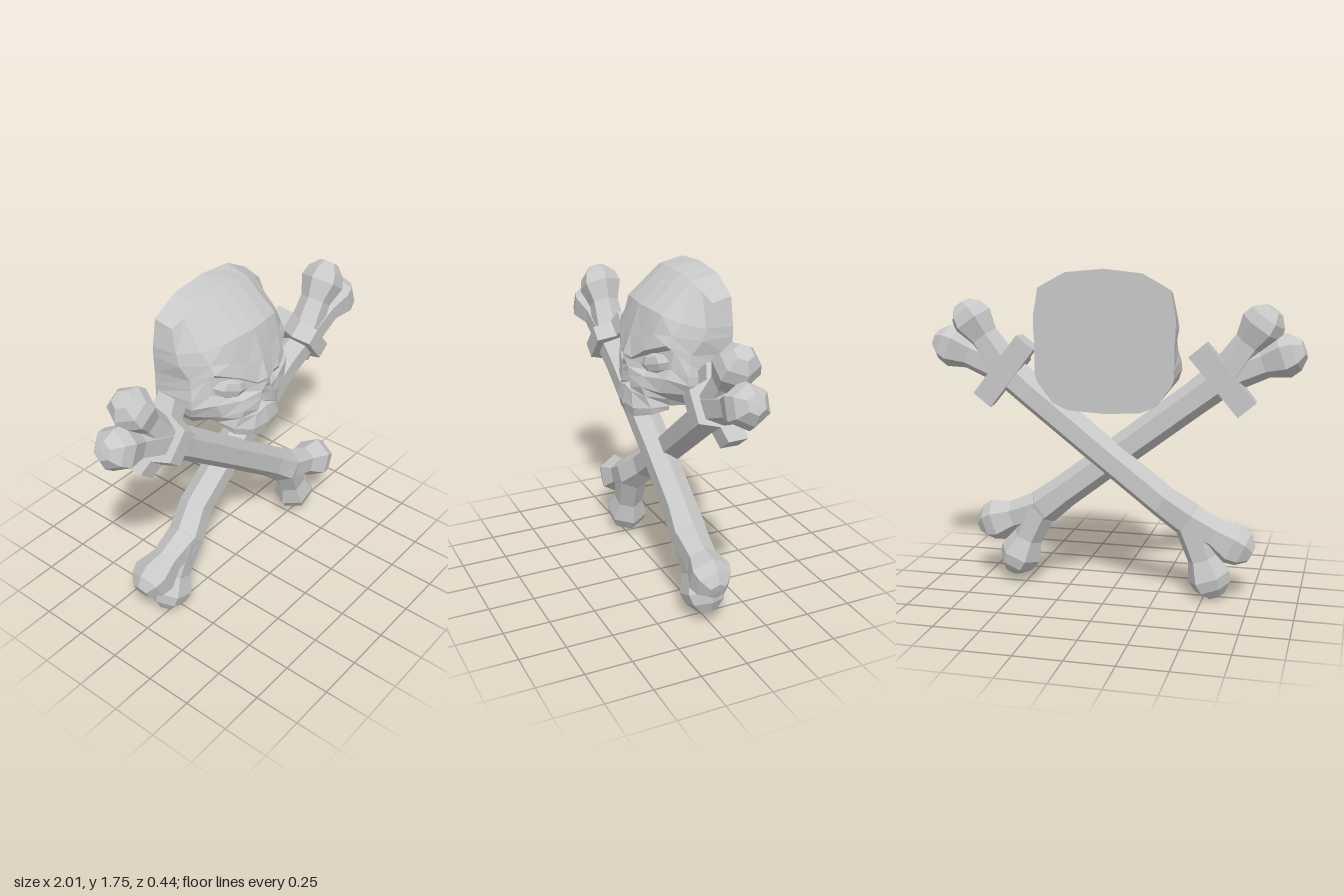
import * as THREE from 'three';

const bone = new THREE.MeshStandardMaterial({ color: 0xc8c8c8 });
bone.name = 'bone grey';
bone.flatShading = true;
bone.side = THREE.DoubleSide;

function triangles(name, corners) {
  const geo = new THREE.BufferGeometry();
  geo.setAttribute('position', new THREE.Float32BufferAttribute(corners.flat(), 3));
  geo.computeVertexNormals();
  const mesh = new THREE.Mesh(geo, bone);
  mesh.name = name;
  return mesh;
}

// Rows of points running from the centre line to the left, mirrored to the right
function mirroredPanel(name, rows) {
  const out = [];
  const flip = ([x, y, z]) => [-x, y, z];
  for (let r = 0; r < rows.length - 1; r++) {
    for (let c = 0; c < rows[r].length - 1; c++) {
      const a = rows[r][c], b = rows[r][c + 1], d = rows[r + 1][c], e = rows[r + 1][c + 1];
      out.push(a, d, e, a, e, b);
      out.push(...[a, e, d, a, b, e].map(flip));
    }
  }
  return triangles(name, out);
}

// Six-sided tube through [x, y, z, radius] stations, with a flat front and back
function loft(name, stations) {
  const rings = stations.map(([x, y, z, r], i) => {
    const p = stations[Math.max(0, i - 1)], n = stations[Math.min(stations.length - 1, i + 1)];
    const d = new THREE.Vector2(n[0] - p[0], n[1] - p[1]).normalize();
    return Array.from({ length: 6 }, (_, j) => {
      const t = j * Math.PI / 3, s = r * Math.cos(t);
      return [x - d.y * s, y + d.x * s, z + r * Math.sin(t)];
    });
  });
  const out = [];
  for (let i = 0; i < rings.length - 1; i++) {
    for (let j = 0; j < 6; j++) {
      const k = (j + 1) % 6, a = rings[i], b = rings[i + 1];
      out.push(a[j], a[k], b[j], a[k], b[k], b[j]);
    }
  }
  return triangles(name, out);
}

// Forked bone end: a broad neck growing out of the shaft and swelling into a knob
function knob(name, base, tip) {
  const from = new THREE.Vector3(...base), to = new THREE.Vector3(...tip);
  const dir = to.clone().sub(from).normalize();
  const at = (s, r) => [...to.clone().addScaledVector(dir, s).toArray(), r];
  return loft(name, [[...base, 0.095], at(-0.12, 0.083), at(-0.015, 0.118), at(0.045, 0.1), at(0.095, 0.05), at(0.098, 0)]);
}

// Crossguard with a raised collar in the middle, narrowing towards the front
function guard(name, x, y, z, ux, uy) {
  const half = [[0.2, -0.11], [0.2, -0.01], [0.12, 0.01], [0.085, 0.11]];
  const outline = [...half, ...half.map(([u, w]) => [-u, w]).reverse()];
  const geo = new THREE.ExtrudeGeometry(new THREE.Shape(outline.map(p => new THREE.Vector2(...p))),
    { depth: 0.12, bevelEnabled: false });
  geo.translate(0, 0, -0.06);
  const pos = geo.attributes.position;
  for (let i = 0; i < pos.count; i++) pos.setZ(i, pos.getZ(i) * (0.87 - 1.2 * pos.getY(i)));
  const u = new THREE.Vector3(ux, uy, 0).normalize(), w = new THREE.Vector3(0, 0, 1);
  geo.applyMatrix4(new THREE.Matrix4().makeBasis(u, w, u.clone().cross(w)));
  const mesh = new THREE.Mesh(geo, bone);
  mesh.name = name;
  mesh.position.set(x, y, z);
  return mesh;
}

function crossbone(name, side, midZ, endZ, lowTips) {
  const g = new THREE.Group();
  g.name = name;
  const top = [side * 0.59, 1.19, endZ], low = [-side * 0.42, 0.415, endZ];
  g.add(loft('shaft', [
    [side * 0.72, 1.295, endZ, 0], [side * 0.67, 1.255, endZ, 0.065], [side * 0.58, 1.182, endZ, 0.096],
    [side * 0.45, 1.08, (midZ + endZ) / 2, 0.09], [0, 0.735, midZ, 0.088], [-side * 0.28, 0.52, midZ, 0.09],
    [-side * 0.4, 0.425, endZ, 0.1], [-side * 0.5, 0.345, endZ, 0.065], [-side * 0.55, 0.31, endZ, 0],
  ]));
  g.add(knob('upperOuterKnob', top, [side * 0.9, 1.31, endZ]));
  g.add(knob('upperInnerKnob', top, [side * 0.78, 1.46, endZ - 0.01]));
  lowTips.forEach((tip, i) => g.add(knob(i ? 'lowerInnerKnob' : 'lowerOuterKnob', low, tip)));
  return g;
}

function skull() {
  const g = new THREE.Group();
  g.name = 'skull';

  // Cranium from the crown down to the brow edge
  const cranium = [
    [[0, 1.745, -0.22], [0.1, 1.735, -0.22], [0.2, 1.725, -0.22], [0.27, 1.687, -0.22], [0.345, 1.645, -0.22], [0.345, 1.645, -0.22]],
    [[0, 1.72, -0.07], [0.1, 1.715, -0.07], [0.19, 1.7, -0.08], [0.27, 1.66, -0.1], [0.337, 1.62, -0.12], [0.352, 1.6, -0.22]],
    [[0, 1.56, 0.12], [0.1, 1.56, 0.11], [0.2, 1.55, 0.09], [0.29, 1.52, 0.02], [0.355, 1.5, -0.08], [0.37, 1.5, -0.22]],
    [[0, 1.41, 0.17], [0.09, 1.41, 0.155], [0.19, 1.45, 0.125], [0.28, 1.46, 0.07], [0.36, 1.44, -0.06], [0.37, 1.45, -0.22]],
    [[0, 1.31, 0.21], [0.06, 1.3, 0.19], [0.16, 1.365, 0.16], [0.28, 1.415, 0.1], [0.34, 1.37, -0.01], [0.365, 1.35, -0.22]],
  ];
  g.add(mirroredPanel('cranium', cranium));

  // Eye sockets, nose opening, cheekbones and upper jaw
  const face = [
    [[0, 1.285, 0.207], [0.045, 1.285, 0.185], [0.13, 1.33, 0.115], [0.28, 1.39, 0.06], [0.345, 1.32, 0], [0.365, 1.28, -0.22]],
    [[0, 1.24, 0.185], [0.035, 1.245, 0.2], [0.12, 1.245, 0.125], [0.285, 1.29, 0.075], [0.36, 1.265, 0.015], [0.365, 1.24, -0.22]],
    [[0, 1.2, 0.17], [0.045, 1.2, 0.2], [0.14, 1.22, 0.16], [0.285, 1.245, 0.11], [0.365, 1.22, 0.015], [0.365, 1.2, -0.22]],
    [[0, 1.15, 0.165], [0.06, 1.14, 0.198], [0.14, 1.165, 0.175], [0.25, 1.165, 0.125], [0.35, 1.165, 0], [0.35, 1.16, -0.22]],
    [[0, 1.135, 0.2], [0.075, 1.12, 0.197], [0.15, 1.115, 0.155], [0.2, 1.1, 0.05], [0.28, 1.08, -0.05], [0.27, 1.055, -0.22]],
    [[0, 1.045, 0.217], [0.1, 1.045, 0.205], [0.175, 1.055, 0.135], [0.18, 1.055, 0.03], [0.2, 1.045, -0.1], [0.19, 1.02, -0.22]],
  ];
  const underside = face[5].map(([, y, z]) => [0, y - 0.01, z]);
  g.add(mirroredPanel('face', [cranium[4], ...face, underside]));

  // Flat back
  const edge = [...cranium[0].slice(0, 5), ...[...cranium.slice(1), ...face].map(row => row[5])];
  const outline = [...edge, [0, 1.01], ...edge.slice(1).reverse().map(([x, y]) => [-x, y])];
  const back = new THREE.ShapeGeometry(new THREE.Shape(outline.map(([x, y]) => new THREE.Vector2(x, y))));
  back.rotateY(Math.PI);
  const backMesh = new THREE.Mesh(back, bone);
  backMesh.name = 'skullBack';
  backMesh.position.z = -0.22;
  g.add(backMesh);

  // Band of teeth
  g.add(mirroredPanel('teeth', [
    [[0, 1.04, 0.21], [0.1, 1.04, 0.198], [0.17, 1.05, 0.13], [0.172, 1.05, 0.03]],
    [[0, 0.985, 0.2], [0.09, 0.99, 0.189], [0.165, 1.015, 0.125], [0.165, 1.025, 0.03]],
    [[0, 1.0, 0.12], [0.06, 1.0, 0.12], [0.13, 1.02, 0.07], [0.165, 1.025, 0.03]],
    [[0, 1.045, 0.1], [0.06, 1.045, 0.1], [0.13, 1.045, 0.06], [0.165, 1.045, 0.03]],
  ]));

  // Almond eyes set into the sockets
  for (const s of [1, -1]) {
    const eye = new THREE.Mesh(new THREE.SphereGeometry(1, 6, 4), bone);
    eye.name = s > 0 ? 'leftEye' : 'rightEye';
    eye.scale.set(0.1, 0.052, 0.035);
    eye.position.set(s * 0.185, 1.3, 0.115);
    eye.rotation.set(0, s * 0.4, s * 0.28);
    g.add(eye);
  }
  return g;
}

export function createModel() {
  const model = new THREE.Group();
  model.name = 'skullAndCrossbones';
  model.add(skull());

  // Front bone runs from upper right to lower left of the model, rear bone the other way
  model.add(crossbone('frontBone', -1, 0.02, 0.03, [[0.687, 0.32, 0.045], [0.54, 0.14, 0.01]]));
  model.add(crossbone('rearBone', 1, -0.05, -0.01, [[-0.667, 0.295, -0.02], [-0.535, 0.1, -0.025]]));
  model.add(guard('frontBoneGuard', -0.585, 1.18, 0.04, 0.65, 0.76));
  model.add(guard('rearBoneGuard', 0.575, 1.19, 0, -0.61, 0.79));
  return model;
}
